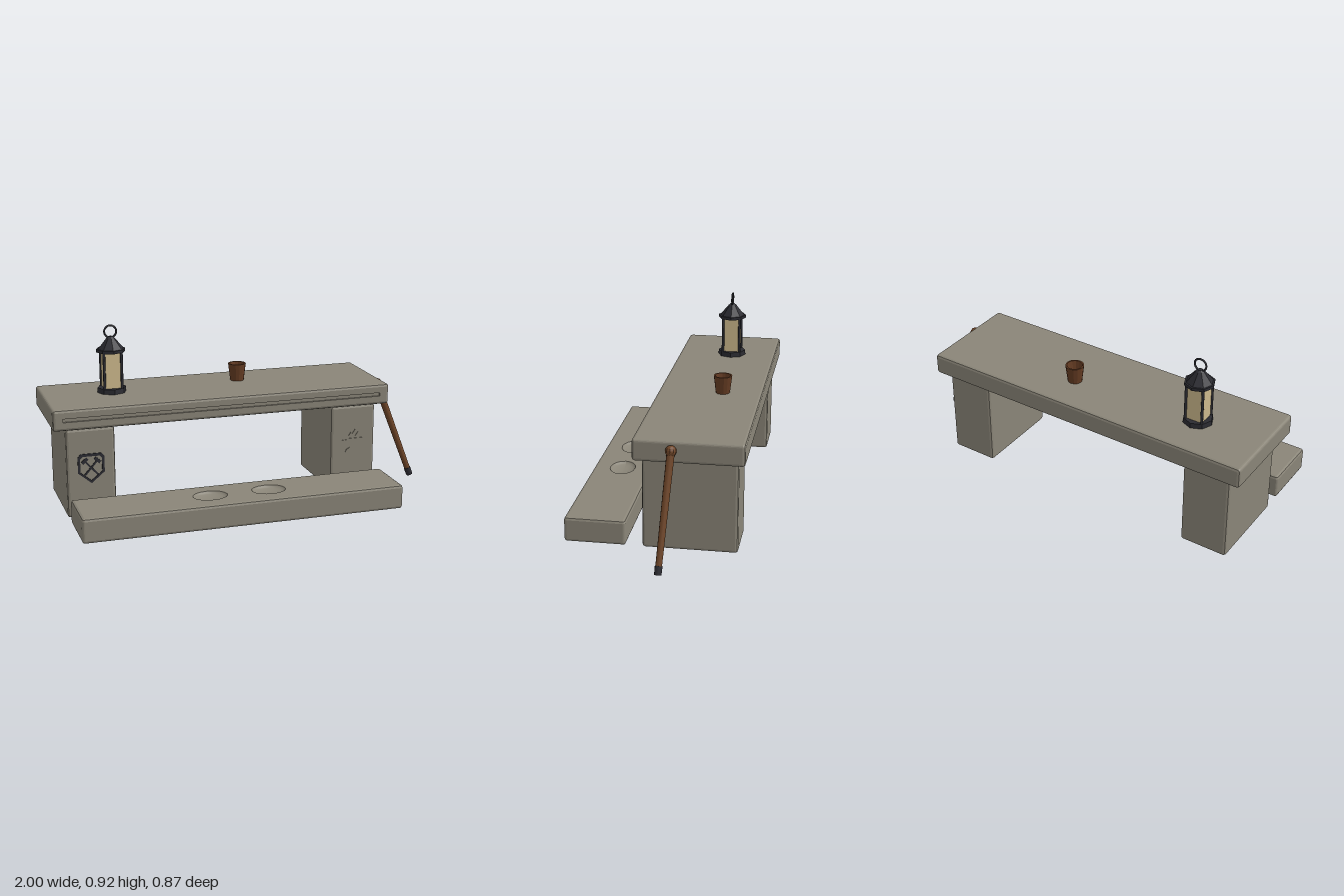
import * as THREE from 'three';
import { mergeGeometries } from 'three/addons/utils/BufferGeometryUtils.js';

const material = (name, color, extra = {}) => Object.assign(new THREE.MeshStandardMaterial({ color, ...extra }), { name });

export function createModel() {
  const stone = material('stone', 0x8a8578);
  const iron = material('dark iron', 0x2b2b31);
  const wood = material('wood', 0x6e4528);
  const cupWood = material('cup wood', 0x653c23, { side: THREE.DoubleSide });
  const glass = material('warm glass', 0xcdb98c);

  const model = new THREE.Group();
  const add = (parent, name, geometry, mat, x = 0, y = 0, z = 0) => {
    const mesh = new THREE.Mesh(geometry, mat);
    mesh.name = name;
    mesh.position.set(x, y, z);
    parent.add(mesh);
    return mesh;
  };
  const group = (name, x = 0, y = 0, z = 0) => {
    const g = new THREE.Group();
    g.name = name;
    g.position.set(x, y, z);
    model.add(g);
    return g;
  };
  const vectors = pts => pts.map(([x, y]) => new THREE.Vector2(x, y));
  const flat = g => {
    const f = g.index ? g.toNonIndexed() : g;
    f.computeVertexNormals();
    return f;
  };

  // Block with softened edges, centred, whose +z cap may have openings cut in it
  const block = (w, h, d, openings = []) => {
    const b = 0.014, x = w / 2 - b, y = h / 2 - b;
    const outline = new THREE.Shape();
    [[x, y], [-x, y], [-x, -y], [x, -y]].forEach(([cx, cy], i) =>
      outline.absarc(cx, cy, b, i * Math.PI / 2, (i + 1) * Math.PI / 2));
    const body = new THREE.ExtrudeGeometry(outline, {
      depth: d - 2 * b, curveSegments: 2, bevelSize: b, bevelThickness: b, bevelOffset: -b, bevelSegments: 2,
    });
    body.translate(0, 0, b - d / 2);
    if (!openings.length) return body;
    // Swap the solid cap for one with the openings
    const p = body.attributes.position, kept = [];
    for (let i = 0; i < p.count; i += 3) {
      const onCap = [0, 1, 2].every(k => p.getZ(i + k) > d / 2 - 1e-5);
      if (!onCap) for (let k = 0; k < 3; k++) kept.push(p.getX(i + k), p.getY(i + k), p.getZ(i + k));
    }
    const sides = new THREE.BufferGeometry();
    sides.setAttribute('position', new THREE.Float32BufferAttribute(kept, 3));
    const capShape = new THREE.Shape(vectors([[-x, -y], [x, -y], [x, y], [-x, y]]));
    capShape.holes = openings.map(pts => new THREE.Path(vectors(pts)));
    const cap = new THREE.ShapeGeometry(capShape).toNonIndexed().translate(0, 0, d / 2);
    cap.deleteAttribute('uv');
    return mergeGeometries([flat(sides), cap]);
  };

  // Table slab with a long groove along its front edge
  const gw = 0.835, gh = 0.009, gd = 0.01;
  const slab = group('slab', -0.115, 0.5235, -0.1715);
  add(slab, 'slabBody', block(1.77, 0.107, 0.527, [[[-gw, -gh], [gw, -gh], [gw, gh], [-gw, gh]]]), stone);
  const liner = flat(new THREE.BoxGeometry(2 * gw, 2 * gh, gd).scale(1, 1, -1));
  add(slab, 'slabGroove', liner, stone, 0, 0, 0.2635 - gd / 2);

  // Two supporting piers
  add(model, 'rightPier', block(0.247, 0.457, 0.457), stone, -0.812, 0.2375, -0.1715);
  add(model, 'leftPier', block(0.247, 0.457, 0.457), stone, 0.585, 0.2375, -0.1715);

  // Low step with two worn hollows
  const rx = 0.088, rz = 0.066, segments = 16;
  const hollows = [[-0.153, 0], [0.152, 0]];
  const ellipse = ([cx, cy]) => Array.from({ length: segments }, (_, i) => {
    const a = i / segments * Math.PI * 2;
    return [cx + rx * Math.cos(a), cy + rz * Math.sin(a)];
  });
  const step = group('step', -0.1125, 0.0725, 0.287);
  add(step, 'stepBody', block(1.645, 0.3, 0.125, hollows.map(ellipse)).rotateX(-Math.PI / 2), stone);
  for (const [x] of hollows) {
    const bowl = new THREE.SphereGeometry(1, segments, 5, 0, Math.PI * 2, Math.PI / 2, Math.PI / 2);
    bowl.scale(rx, 0.022, -rz);
    bowl.computeVertexNormals();
    add(step, 'wornHollow', bowl, stone, x, 0.0625, 0);
  }

  // Thin raised carvings on the pier fronts
  const plate = (parent, name, pts, mat, hole) => {
    const shape = new THREE.Shape(vectors(pts));
    if (hole) shape.holes.push(new THREE.Path(vectors(hole)));
    return add(parent, name, new THREE.ExtrudeGeometry(shape, { depth: 0.005, bevelEnabled: false }), mat);
  };
  const bar = (parent, name, w, h, mat, x, y, angle) => {
    add(parent, name, new THREE.BoxGeometry(w, h, 0.005), mat, x, y, 0.0025).rotation.z = angle;
  };
  const shield = group('shieldCarving', -0.812, 0.26, 0.056);
  const rim = [[0, -0.077], [0.067, -0.022], [0.067, 0.06], [0.052, 0.076], [-0.052, 0.076], [-0.067, 0.06], [-0.067, -0.022]];
  plate(shield, 'shieldRim', rim, iron, rim.map(([x, y]) => [x * 0.82, y * 0.82]));
  for (const s of [-1, 1]) {
    bar(shield, 'hammerHandle', 0.009, 0.098, iron, 0, 0.003, -s * 0.72);
    bar(shield, 'hammerHead', 0.036, 0.016, iron, s * 0.032, 0.04, -s * 0.72);
  }
  const anvil = group('anvilCarving', 0.585, 0.26, 0.056);
  plate(anvil, 'anvilBody', [[-0.04, -0.045], [0.04, -0.045], [0.034, -0.031], [0.017, -0.022], [0.017, 0],
    [0.04, 0.008], [0.068, 0.01], [0.068, 0.028], [-0.035, 0.028], [-0.035, 0.022], [-0.07, 0.02],
    [-0.04, 0.004], [-0.017, 0], [-0.017, -0.022], [-0.034, -0.031]], stone);
  [[-0.014, 0.05], [0.008, 0.062], [0.026, 0.05]].forEach(([x, y]) =>
    bar(anvil, 'spark', 0.008, 0.027, stone, x, y, -0.6));

  // Lantern: octagonal base and roof, four posts around a glass box, ring on top
  const lantern = group('lantern', -0.645, 0.577, -0.197);
  const disc = (name, r0, r1, y0, y1) =>
    add(lantern, name, flat(new THREE.CylinderGeometry(r1, r0, y1 - y0, 8)), iron, 0, (y0 + y1) / 2, 0);
  disc('lanternBase', 0.075, 0.073, 0, 0.025);
  disc('lanternRim', 0.075, 0.075, 0.21, 0.225);
  disc('lanternRoof', 0.066, 0.021, 0.225, 0.28);
  disc('lanternCap', 0.021, 0.012, 0.28, 0.288);
  add(lantern, 'lanternGlass', new THREE.BoxGeometry(0.088, 0.187, 0.088), glass, 0, 0.117, 0);
  for (const x of [-0.045, 0.045]) for (const z of [-0.045, 0.045])
    add(lantern, 'lanternPost', new THREE.CylinderGeometry(0.007, 0.007, 0.19, 8), iron, x, 0.117, z);
  add(lantern, 'lanternRing', new THREE.TorusGeometry(0.031, 0.005, 6, 20), iron, 0, 0.313, 0);

  // Hollow wooden cup
  const cupProfile = vectors([[0, 0], [0.036, 0], [0.047, 0.09], [0.039, 0.09], [0.031, 0.014], [0, 0.014]]);
  add(model, 'cup', flat(new THREE.LatheGeometry(cupProfile, 14)), cupWood, 0.038, 0.578, -0.235);

  // Walking stick leaning on the slab's end
  const top = new THREE.Vector3(0.783, 0.535, -0.095);
  const foot = new THREE.Vector3(0.982, 0.009, -0.068);
  const length = top.distanceTo(foot);
  const stick = group('walkingStick', foot.x, foot.y, foot.z);
  stick.quaternion.setFromUnitVectors(new THREE.Vector3(0, 1, 0), top.clone().sub(foot).normalize());
  add(stick, 'stickShaft', new THREE.CylinderGeometry(0.019, 0.015, length, 10), wood, 0, length / 2, 0);
  add(stick, 'stickKnob', flat(new THREE.SphereGeometry(0.027, 10, 8)), wood, 0, length, 0);
  add(stick, 'stickFerrule', new THREE.CylinderGeometry(0.018, 0.017, 0.042, 10), iron, 0, 0.02, 0);

  return model;
}
